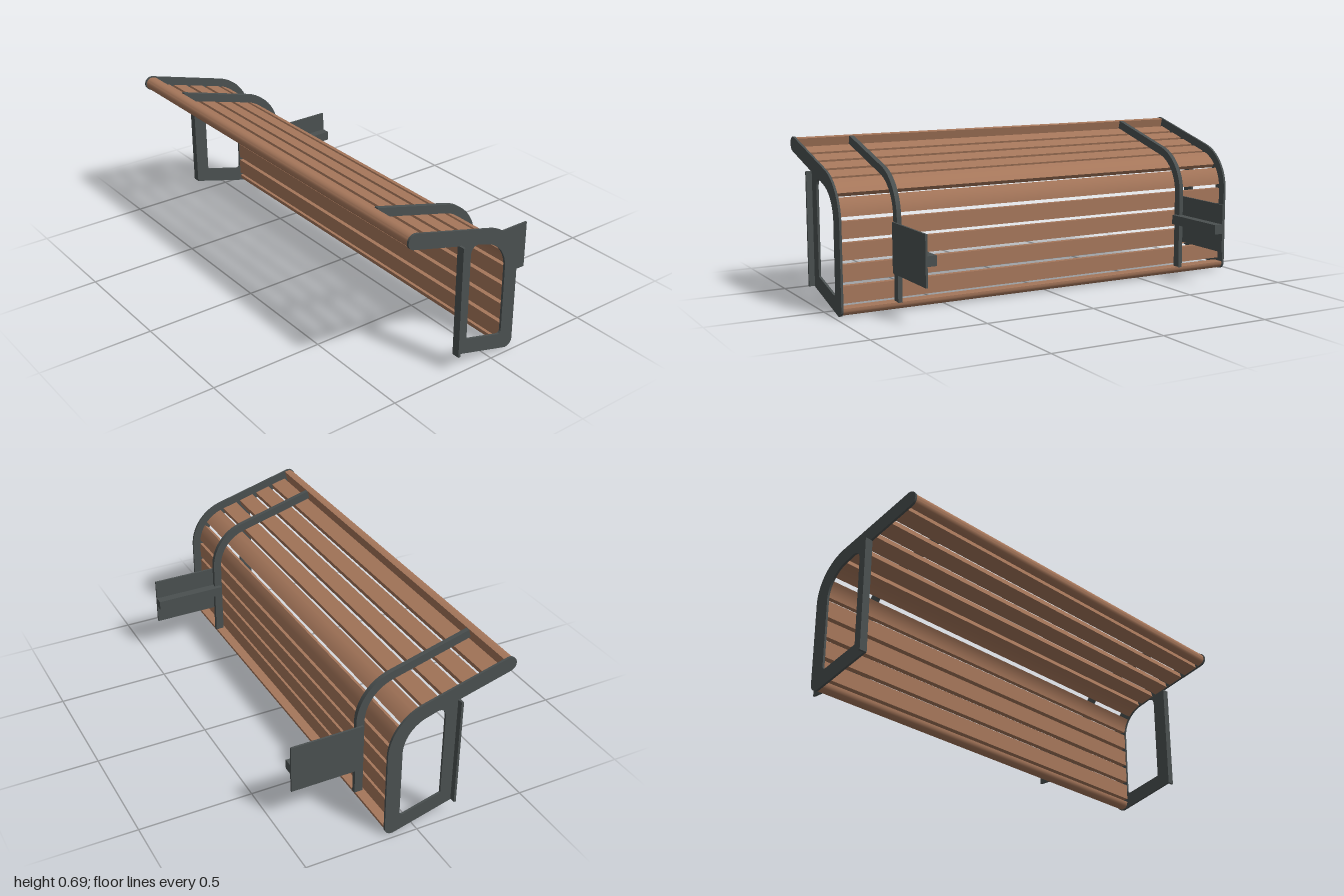
import * as THREE from 'three';
import { toCreasedNormals } from 'three/addons/utils/BufferGeometryUtils.js';

const TILT = 0.264;                    // slope of the top section
const TURN = Math.PI / 2 - TILT;       // bend between back and top
const R = 0.2086, CZ = 0.0736, CY = 0.3875; // outer bend radius and centre
const BAND = 0.065;                    // depth of the frame band
const S1 = 0.3875, S2 = S1 + TURN * (R - 0.05);

// Point (z, y) at distance s along the bench section, d inward from its outer edge
function at(s, d) {
  const a = THREE.MathUtils.clamp((s - S1) / (S2 - S1), 0, 1) * TURN;
  const z = CZ - (R - d) * Math.cos(a), y = CY + (R - d) * Math.sin(a);
  const run = s < S1 ? s - S1 : Math.max(0, s - S2);
  return new THREE.Vector2(z + Math.sin(a) * run, y + Math.cos(a) * run);
}

// Row of points following the section
function run(s0, s1, d) {
  const n = Math.max(1, Math.ceil(Math.abs(s1 - s0) / 0.012));
  return Array.from({ length: n + 1 }, (_, i) => at(s0 + (s1 - s0) * i / n, d));
}

function arc(c, r, a0, a1, n = 12) {
  return Array.from({ length: n + 1 }, (_, i) => {
    const a = a0 + (a1 - a0) * i / n;
    return new THREE.Vector2(c.x + r * Math.cos(a), c.y + r * Math.sin(a));
  });
}

export function createModel() {
  const group = new THREE.Group();
  const wood = new THREE.MeshStandardMaterial({ color: 0xa5765a });
  const metal = new THREE.MeshStandardMaterial({ color: 0x4a5050 });

  // Extrude a (z, y) outline along x
  function extrude(name, shape, material, x, width) {
    const geo = new THREE.ExtrudeGeometry(shape, { depth: width, bevelEnabled: false, curveSegments: 10 });
    geo.rotateY(-Math.PI / 2);
    geo.translate(x + width / 2, 0, 0);
    const mesh = new THREE.Mesh(toCreasedNormals(geo, 0.5), material);
    mesh.name = name;
    group.add(mesh);
  }

  function box(name, x0, x1, y0, y1, z0, z1) {
    const mesh = new THREE.Mesh(new THREE.BoxGeometry(x1 - x0, y1 - y0, z1 - z0), metal);
    mesh.position.set((x0 + x1) / 2, (y0 + y1) / 2, (z0 + z1) / 2);
    mesh.name = name;
    group.add(mesh);
  }

  const band = (s0, s1, d0, d1) => new THREE.Shape([...run(s0, s1, d0), ...run(s1, s0, d1)]);

  // Slats: four straight ones on the back, two bent ones, four on the top
  const slats = [[0.406, 0.482], [0.5, 0.585]];
  for (let i = 0; i < 4; i++) {
    slats.push([0.05 + i * 0.089, 0.122 + i * 0.089]);
    slats.push([0.602 + i * 0.093, 0.674 + i * 0.093]);
  }
  slats.forEach(([a, b]) => extrude('slat', band(a, b, 0.037, 0.063), wood, 0, 1.936));

  // Thick rounded slats along the two free edges
  const r = 0.029, mid = BAND / 2;
  const tip = at(0.98, mid), foot = at(mid, mid);
  extrude('frontEdgeSlat', new THREE.Shape([
    at(0.966, mid + r), ...arc(tip, r, TILT - Math.PI / 2, TILT + Math.PI / 2), at(0.966, mid - r),
  ]), wood, 0, 1.936);
  extrude('bottomEdgeSlat', new THREE.Shape([
    at(0.036, mid - r), ...arc(foot, r, Math.PI, 2 * Math.PI), at(0.036, mid + r),
  ]), wood, 0, 1.936);

  // End frame outline with its window
  const end = new THREE.Shape([
    new THREE.Vector2(0.18, 0.075), at(0.7437, BAND),
    ...arc(tip, mid, TILT - Math.PI / 2, TILT + Math.PI / 2),
    ...run(0.97, mid + 0.01, 0),
    ...arc(foot, mid, Math.PI, 1.5 * Math.PI + TILT),
  ]);
  const hole = new THREE.Path();
  hole.moveTo(0.118, 0.125);
  hole.lineTo(0.118, 0.5);
  hole.bezierCurveTo(0.118, 0.528, 0.105, 0.544, 0.08, 0.54);
  run(0.605, 0.38, BAND).forEach(p => hole.lineTo(p.x, p.y));
  hole.lineTo(-0.07, 0.1);
  hole.quadraticCurveTo(-0.07, 0.075, -0.048, 0.081);
  hole.closePath();
  end.holes.push(hole);

  for (const side of [-1, 1]) {
    const span = (a, b) => side > 0 ? [a, b] : [-b, -a];
    extrude('endFrame', end, metal, side * 0.97, 0.01);
    box('endFlange', ...span(0.97, 1), 0.075, 0.566, 0.17, 0.18);

    // Inner rib carrying the slats, with its mounting plate and bar
    extrude('rib', band(0.034, 0.962, 0, 0.037), metal, side * 0.715, 0.02);
    box('mountPlate', ...span(0.725, 0.734), 0.155, 0.371, -0.43, -0.105);
    box('mountBar', ...span(0.685, 0.725), 0.24, 0.283, -0.43, -0.108);
  }
  return group;
}
